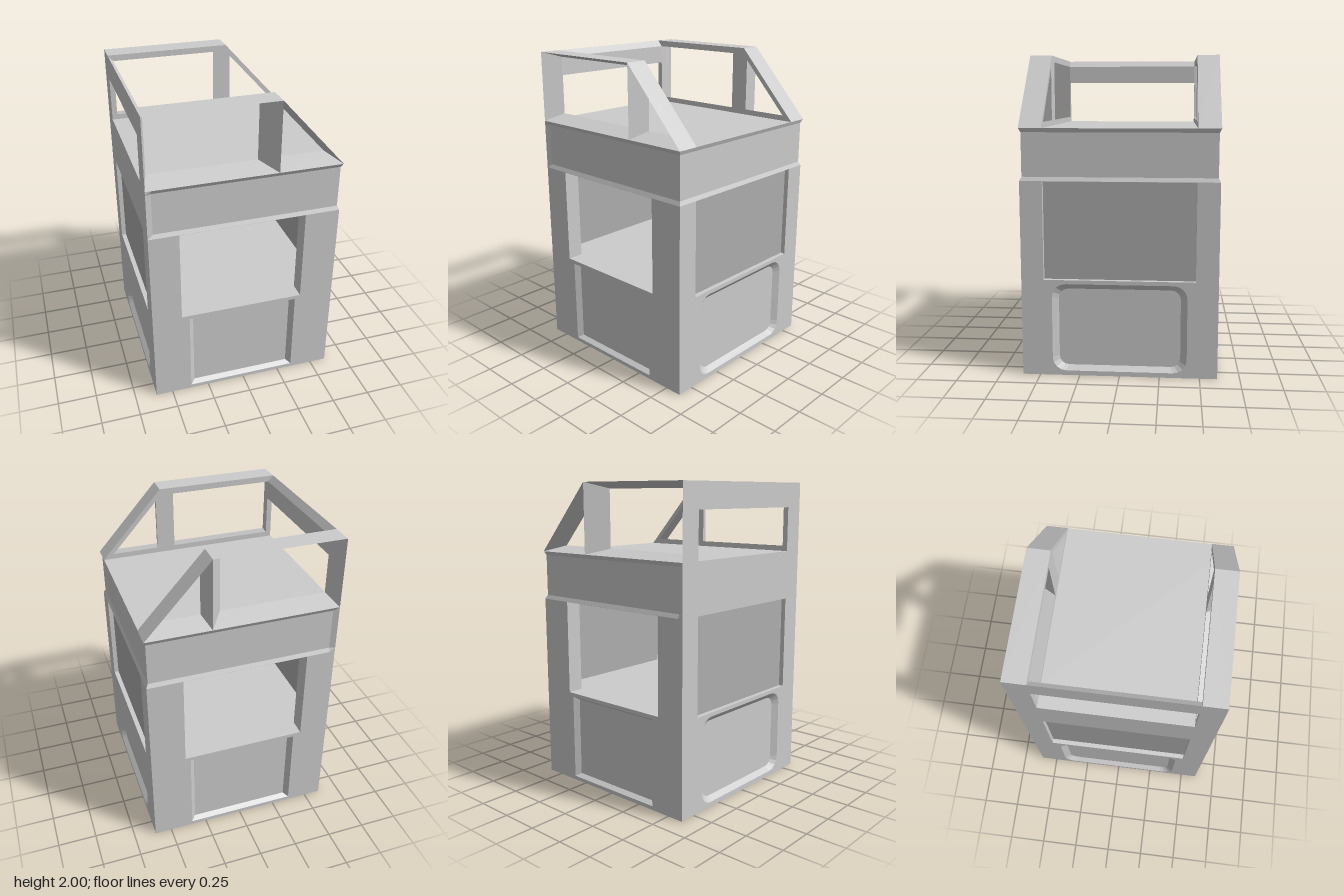
import * as THREE from 'three';

const grey = new THREE.MeshStandardMaterial({ color: 0xcccccc, flatShading: true });
const paneGrey = new THREE.MeshStandardMaterial({ color: 0xaeaeae, flatShading: true });

// Counter-clockwise outlines as [x, y] pairs
const rect = (x0, y0, x1, y1) => [[x0, y0], [x1, y0], [x1, y1], [x0, y1]];
function roundRect(x0, y0, x1, y1, r, n = 4) {
  const corners = [[x1 - r, y0 + r, -0.5], [x1 - r, y1 - r, 0], [x0 + r, y1 - r, 0.5], [x0 + r, y0 + r, 1]];
  return corners.flatMap(([cx, cy, start]) => Array.from({ length: n + 1 }, (_, i) => {
    const a = Math.PI * (start + i / n / 2);
    return [cx + r * Math.cos(a), cy + r * Math.sin(a)];
  }));
}

function shapeOf(outline, holes = []) {
  const vec = (pts) => pts.map(([x, y]) => new THREE.Vector2(x, y));
  const shape = new THREE.Shape(vec(outline));
  holes.forEach((h) => shape.holes.push(new THREE.Path(vec(h))));
  return shape;
}

// Skin between outlines placed at the given z heights, with an optional cap on the last
function loft(sections, cap = false) {
  const pos = [];
  const at = ([outline, z], i) => [...outline[i % outline.length], z];
  for (let s = 0; s + 1 < sections.length; s++) {
    const [lo, hi] = [sections[s], sections[s + 1]];
    for (let i = 0; i < lo[0].length; i++) {
      const [a, b, c, d] = [at(lo, i), at(lo, i + 1), at(hi, i + 1), at(hi, i)];
      pos.push(...a, ...b, ...c, ...a, ...c, ...d);
    }
  }
  const last = sections[sections.length - 1];
  if (cap) for (let i = 1; i + 1 < last[0].length; i++) pos.push(...at(last, 0), ...at(last, i), ...at(last, i + 1));
  const geo = new THREE.BufferGeometry();
  geo.setAttribute('position', new THREE.Float32BufferAttribute(pos, 3));
  geo.computeVertexNormals();
  return geo;
}

function slab(shape, z0, z1) {
  return new THREE.ExtrudeGeometry(shape, { depth: z1 - z0, bevelEnabled: false }).translate(0, 0, z0);
}

// Mirror in z, keeping the faces turned outwards
function mirrorZ(source) {
  const p = (source.index ? source.toNonIndexed() : source).getAttribute('position');
  const pos = [];
  for (let i = 0; i < p.count; i += 3) {
    for (const k of [i, i + 2, i + 1]) pos.push(p.getX(k), p.getY(k), -p.getZ(k));
  }
  const geo = new THREE.BufferGeometry();
  geo.setAttribute('position', new THREE.Float32BufferAttribute(pos, 3));
  geo.computeVertexNormals();
  return geo;
}

export function createModel() {
  const model = new THREE.Group();
  model.name = 'booth';
  const add = (name, geo, material = grey) => {
    const mesh = new THREE.Mesh(geo, material);
    mesh.name = name;
    model.add(mesh);
    return mesh;
  };
  const addFrontAndBack = (part, geo) => {
    add('front' + part, geo);
    add('back' + part, mirrorZ(geo));
  };
  const box = (x0, y0, z0, x1, y1, z1) => new THREE.BoxGeometry(x1 - x0, y1 - y0, z1 - z0)
    .translate((x0 + x1) / 2, (y0 + y1) / 2, (z0 + z1) / 2);

  const H = 0.61, IN_X = 0.575, IN_Z = 0.505;   // outer half width, inner half sizes
  const SILL = 0.615, HEAD = 1.23, ROOF = 1.55, TOP = 2;

  // Front and back walls with an open window above a bevelled panel
  const panel = rect(-0.37, 0.025, 0.35, 0.59);
  const panelInner = rect(-0.34, 0.045, 0.32, 0.57);
  const counter = rect(-0.42, SILL, 0.385, HEAD - 0.001);
  addFrontAndBack('Wall', slab(shapeOf(rect(-H, 0, H, HEAD), [panel, counter]), IN_Z, H));
  addFrontAndBack('Panel', loft([[panel, H], [panelInner, H - 0.03]], true));

  // Side walls with a closed window above a rounded panel
  const sidePanel = roundRect(-0.42, 0.03, 0.42, 0.59, 0.085);
  const sideInner = roundRect(-0.38, 0.06, 0.38, 0.555, 0.06);
  const sideWindow = rect(-0.47, SILL, 0.47, HEAD - 0.001);
  for (const [name, turn] of [['left', Math.PI / 2], ['right', -Math.PI / 2]]) {
    const wall = shapeOf(rect(-IN_Z, 0, IN_Z, HEAD), [sidePanel, sideWindow]);
    add(name + 'Wall', slab(wall, IN_X, H).rotateY(turn));
    add(name + 'Panel', loft([[sidePanel, H], [sideInner, H - 0.03]], true).rotateY(turn));
    add(name + 'Pane', slab(shapeOf(sideWindow), IN_X, 0.58).rotateY(turn), paneGrey);
  }

  // Solid base whose top is the counter floor
  add('base', box(-IN_X, 0, -IN_Z, IN_X, SILL, IN_Z));

  // Header band, recessed on three sides, closed by the roof
  const bandLoop = (x, z) => [[x, -z], [x, z], [-0.575, z], [-H, H], [-H, -H], [-0.575, -z]];
  add('headerBand', loft([
    [bandLoop(H, H), HEAD],
    [bandLoop(0.598, 0.597), HEAD + 0.025],
    [bandLoop(0.598, 0.597), ROOF - 0.025],
    [bandLoop(0.608, H), ROOF],
  ], true).rotateX(-Math.PI / 2));

  // Inside of the header, and the rail hung across it
  const inside = rect(-IN_X, -IN_Z, IN_X, IN_Z).reverse();
  add('ceiling', loft([[inside, HEAD], [inside, 1.5]], true).rotateX(-Math.PI / 2));
  add('innerRail', box(-IN_X, 1.34, -0.03, IN_X, 1.39, 0.03));

  // Roof frames: openings taper from the outer face to the inner face
  const Z0 = 0.47;
  const outline = [[-H, ROOF], [H, ROOF], [0.2, TOP], [-H, TOP]];
  const bayOuter = rect(-H, ROOF, 0.2, TOP);
  const bayInner = rect(-0.575, 1.585, 0.11, 1.96);
  const wedgeOuter = [[0.2, ROOF], [H, ROOF], [0.2, TOP]];
  const wedgeInner = [[0.23, 1.585], [0.538, 1.585], [0.23, 1.922]];
  addFrontAndBack('RoofFrame', loft([[outline, Z0], [outline, H]]));
  addFrontAndBack('RoofBay', loft([[bayOuter, H], [bayInner, Z0]]));
  addFrontAndBack('RoofBrace', loft([[wedgeOuter, H], [wedgeInner, Z0]]));
  const innerFace = new THREE.ShapeGeometry(shapeOf(outline, [bayInner, wedgeInner])).translate(0, 0, -Z0);
  add('backRoofFrameInside', innerFace);
  add('frontRoofFrameInside', mirrorZ(innerFace));

  // Cross beam joining the frames, and the ends of the frames beside its opening
  const beam = [[-H, 1.84], [-0.575, 1.84], [-0.575, 1.96], [-H, TOP]];
  add('crossBeam', slab(shapeOf(beam), -Z0, Z0));

  return model;
}
